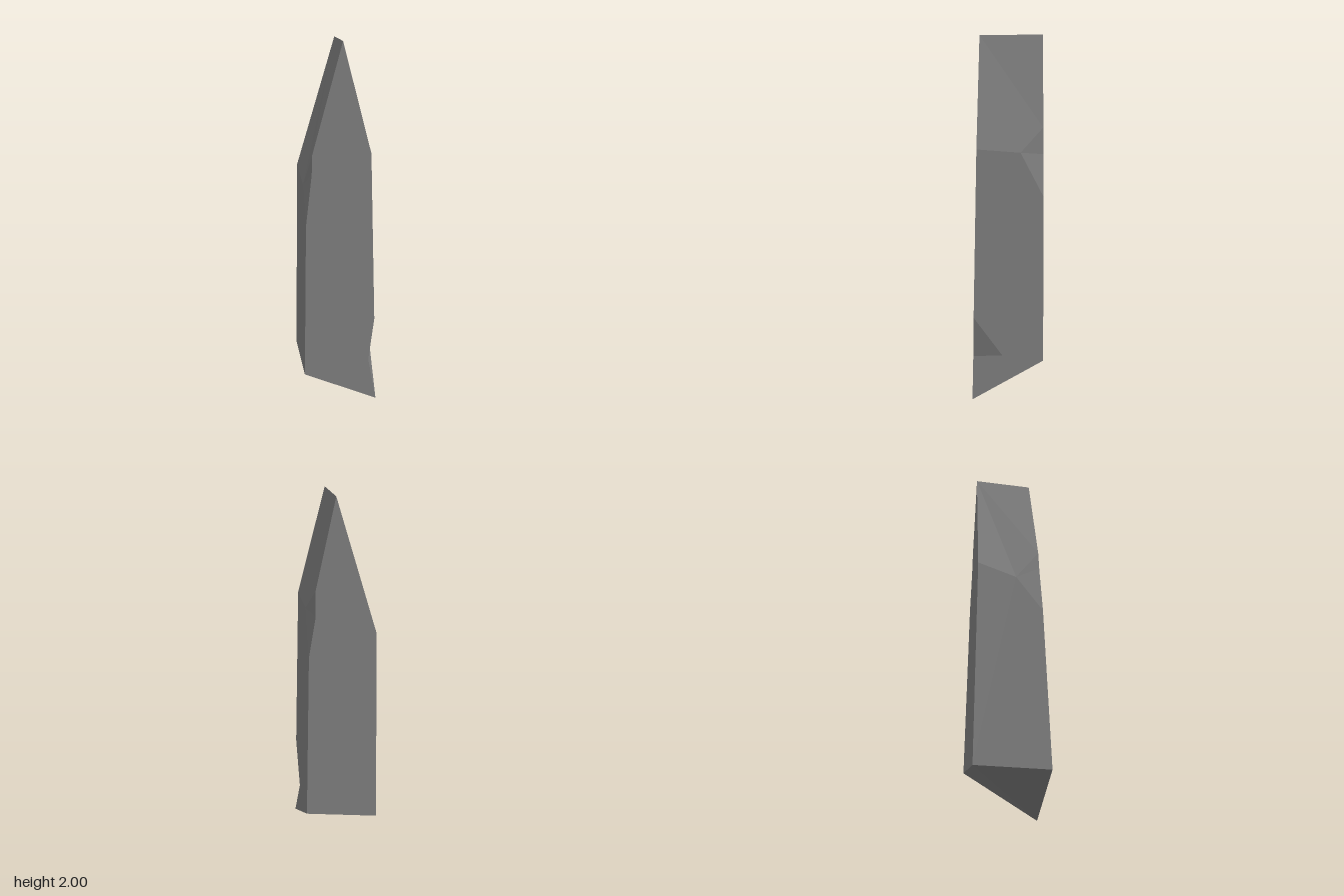
import * as THREE from 'three';

// Corner points of the shard, by place
const P = {
  // foot corners (slanted underside)
  footBL: [-0.217, 0.175, -0.2], footBR: [0.186, 0.23, -0.2],
  footFL: [-0.189, 0.175, 0.196], footFR: [0.217, 0, 0.2],
  // top ridge
  ridgeB: [0.016, 2, -0.181], ridgeF: [0.027, 2, 0.145],
  // intact shoulders
  shoulderBL: [-0.195, 1.3, -0.189], shoulderFR: [0.175, 1.435, 0.161],
  // chip on the upper front left edge
  chipL1: [-0.133, 1.43, 0.161], chipLm: [-0.136, 1.33, 0.164],
  chipL2: [-0.175, 1.24, 0.025], chipL3: [-0.17, 1.05, 0.172],
  // chip on the upper back right edge
  chipR1: [0.12, 1.54, -0.184], chipRm: [0.122, 1.4, -0.186],
  chipR2: [0.16, 1.415, -0.067], chipR3: [0.16, 1.18, -0.189],
  // chip on the lower front right edge
  chipF1: [0.203, 0.5, 0.187], chipFm: [0.172, 0.25, 0.194],
  chipF2: [0.201, 0.27, 0.03],
};

// Each face is a fan around its first corner, anticlockwise from outside
const FACES = {
  front: 'chipFm chipF1 shoulderFR ridgeF chipL1 chipLm chipL3 footFL footFR',
  back: 'shoulderBL ridgeB chipR1 chipRm chipR3 footBR footBL',
  leftWall: 'chipF2 footFR footBR chipR3 chipR2 shoulderFR chipF1',
  rightWall: 'footBL footFL chipL3 chipL2 shoulderBL',
  leftSlope: 'ridgeF shoulderFR chipR2 chipR1 ridgeB',
  rightSlope: 'ridgeB shoulderBL chipL2 chipL1 ridgeF',
  upperFrontChip: 'chipLm chipL1 chipL2 chipL3',
  upperBackChip: 'chipRm chipR1 chipR2 chipR3',
  lowerFrontChip: 'chipFm footFR chipF2 chipF1',
  underside: 'footBL footBR footFR footFL',
};

function fan(names) {
  const c = names.split(' ').map((n) => P[n]);
  const pos = [];
  for (let i = 1; i < c.length - 1; i++) pos.push(...c[0], ...c[i], ...c[i + 1]);
  const g = new THREE.BufferGeometry();
  g.setAttribute('position', new THREE.Float32BufferAttribute(pos, 3));
  g.computeVertexNormals();
  return g;
}

export function createModel() {
  const stone = new THREE.MeshStandardMaterial({ color: 0x808080, flatShading: true });
  stone.name = 'stoneGrey';
  const shard = new THREE.Group();
  shard.name = 'stoneShard';
  for (const [name, corners] of Object.entries(FACES)) {
    const mesh = new THREE.Mesh(fan(corners), stone);
    mesh.name = name;
    shard.add(mesh);
  }
  return shard;
}
